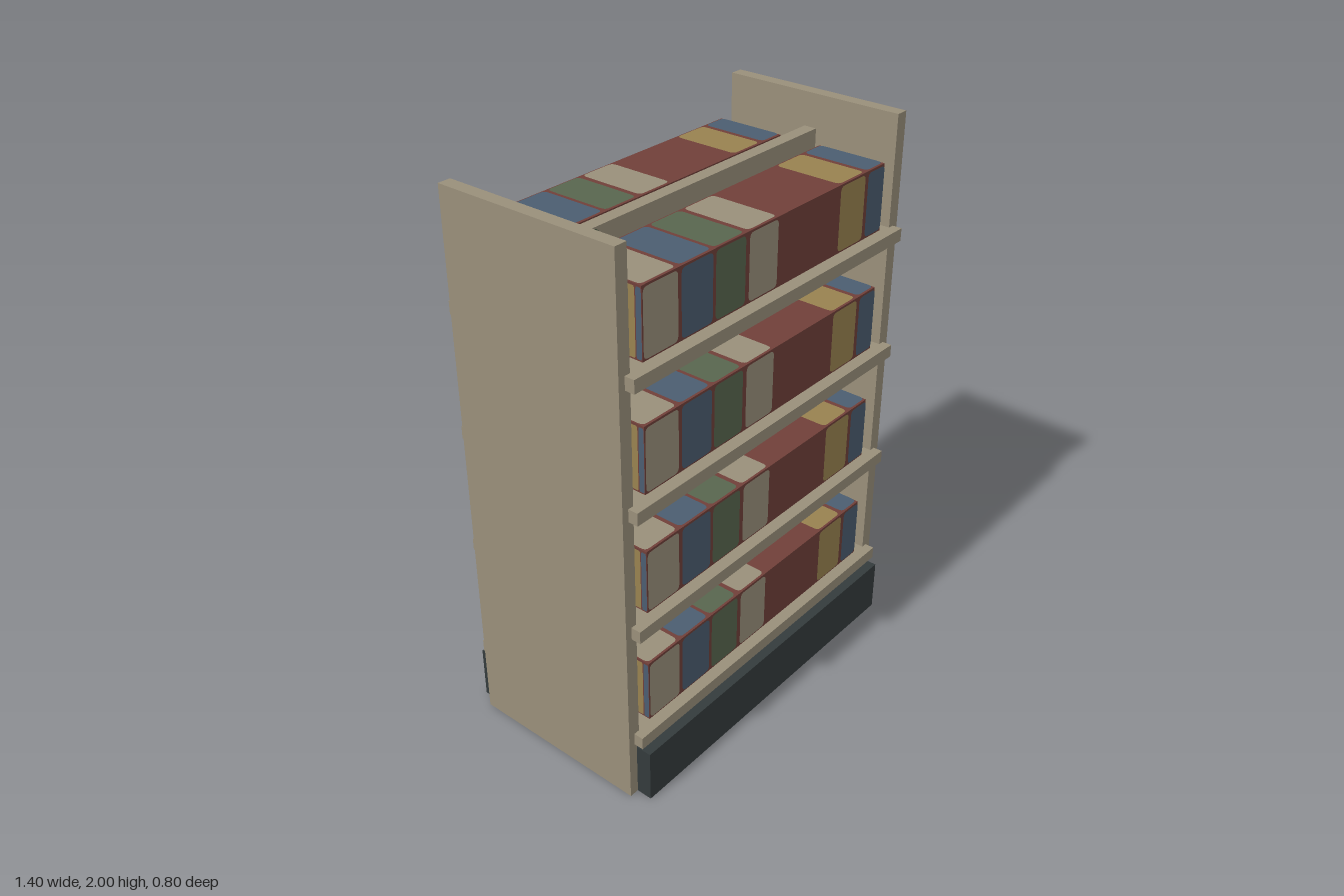
import * as THREE from 'three';

function mat(name, color) {
  const m = new THREE.MeshStandardMaterial({ color });
  m.name = name;
  return m;
}

function roundedRect(x0, x1, y0, y1, r) {
  const s = new THREE.Shape();
  s.moveTo(x0 + r, y0);
  s.lineTo(x1 - r, y0);
  s.quadraticCurveTo(x1, y0, x1, y0 + r);
  s.lineTo(x1, y1 - r);
  s.quadraticCurveTo(x1, y1, x1 - r, y1);
  s.lineTo(x0 + r, y1);
  s.quadraticCurveTo(x0, y1, x0, y1 - r);
  s.lineTo(x0, y0 + r);
  s.quadraticCurveTo(x0, y0, x0 + r, y0);
  return s;
}

export function createModel() {
  const model = new THREE.Group();
  model.name = 'doubleSidedShelf';
  const tan = mat('tan', 0x998f7a);
  const red = mat('red', 0x703f39);
  const blue = mat('blue', 0x4b5d70);
  const green = mat('green', 0x58664e);
  const yellow = mat('yellow', 0x988250);
  const dark = mat('charcoal', 0x343b3c);

  function box(parent, name, material, w, h, d, x, y, z) {
    const m = new THREE.Mesh(new THREE.BoxGeometry(w, h, d), material);
    m.name = name;
    m.position.set(x, y, z);
    parent.add(m);
    return m;
  }

  // Frame: end panels, middle divider and plinth
  for (const s of [-1, 1]) {
    box(model, s > 0 ? 'leftEndPanel' : 'rightEndPanel', tan, 0.047, 1.999, 0.685, s * 0.6765, 1.0005, 0);
  }
  box(model, 'middleDivider', tan, 1.32, 1.78, 0.048, 0, 0.99, 0);
  box(model, 'plinth', dark, 1.33, 0.2, 0.8, 0, 0.1, 0);

  // Goods labels, laid out on a face of W x H
  const W = 1.192, H = 0.236;
  const labels = [
    [tan, [[-0.593, -0.445], [-0.12, 0.02]]],
    [blue, [[-0.43, -0.29], [0.502, 0.595]]],
    [green, [[-0.277, -0.138]]],
    [yellow, [[0.347, 0.485]]],
  ].map(([material, spans]) => [material, new THREE.ShapeGeometry(
    spans.map(([a, b]) => roundedRect(a, b, -0.112, 0.112, 0.018)), 4)]);

  function labelFace(parent, name, sx, sy, position, rotation) {
    const face = new THREE.Group();
    face.name = name;
    face.position.set(...position);
    face.rotation.set(...rotation);
    face.scale.set(sx, sy, 1);
    for (const [material, geometry] of labels) {
      const m = new THREE.Mesh(geometry, material);
      m.name = material.name + 'Labels';
      face.add(m);
    }
    parent.add(face);
  }

  // Shelves, each with one row of goods on either side
  const D = 0.26, gap = 0.002;
  for (let i = 0; i < 4; i++) {
    const y = 0.2425 + i * 0.4465;
    box(model, 'shelf', tan, 1.35, 0.046, 0.756, 0, y, 0);
    for (const s of [1, -1]) {
      const row = new THREE.Group();
      row.name = s > 0 ? 'frontGoods' : 'backGoods';
      row.position.set(-0.002, y + 0.15, s * 0.211);
      box(row, 'goodsBlock', red, W, H, D, 0, 0, 0);
      const flip = (on) => (on ? Math.PI : 0);
      labelFace(row, 'frontLabels', 1, 1, [0, 0, D / 2 + gap], [0, 0, 0]);
      labelFace(row, 'backLabels', 1, 1, [0, 0, -D / 2 - gap], [0, Math.PI, 0]);
      labelFace(row, 'topLabels', 1, D / H, [0, H / 2 + gap, 0], [-Math.PI / 2, 0, 0]);
      labelFace(row, 'leftLabels', D / W, 1, [W / 2 + gap, 0, 0], [0, Math.PI / 2, flip(s > 0)]);
      labelFace(row, 'rightLabels', D / W, 1, [-W / 2 - gap, 0, 0], [0, -Math.PI / 2, flip(s < 0)]);
      model.add(row);
    }
  }

  // Green stains on the divider: x, y, half width, half height
  const stains = [
    [[-0.475, 1.862, 0.05, 0.018], [-0.61, 1.68, 0.015, 0.015], [-0.625, 1.39, 0.03, 0.03]],
    [[-0.62, 1.31, 0.025, 0.085], [0.37, 1.41, 0.015, 0.012], [-0.51, 1.098, 0.025, 0.02]],
    [[-0.39, 1.105, 0.012, 0.012], [0.25, 1.1, 0.014, 0.014], [0.52, 1.04, 0.008, 0.008]],
    [[-0.58, 0.645, 0.016, 0.02], [-0.61, 0.385, 0.018, 0.022], [0.46, 0.962, 0.02, 0.014]],
  ].flat();
  for (const x of [-0.4, -0.295, -0.185, -0.075, 0.03, 0.16, 0.245, 0.35, 0.565]) {
    stains.push([x, 1.54, Math.abs(x) < 0.3 ? 0.022 : 0.014, 0.018]);
  }
  for (const x of [-0.505, 0.135, 0.56]) stains.push([x, 0.96, 0.015, 0.015]);
  for (const x of [-0.605, -0.515, -0.405, -0.265, 0.04, 0.14, 0.29, 0.55]) {
    stains.push([x, 0.522, 0.016, 0.016]);
  }
  const spot = new THREE.CircleGeometry(1, 9);
  for (const side of [0, 1]) {
    const group = new THREE.Group();
    group.name = side ? 'backStains' : 'frontStains';
    group.rotation.y = side * Math.PI;
    for (const [x, y, w, h] of stains) {
      const m = new THREE.Mesh(spot, green);
      m.name = 'stain';
      m.position.set(x, y, 0.026);
      m.scale.set(w, h, 1);
      group.add(m);
    }
    model.add(group);
  }
  return model;
}
